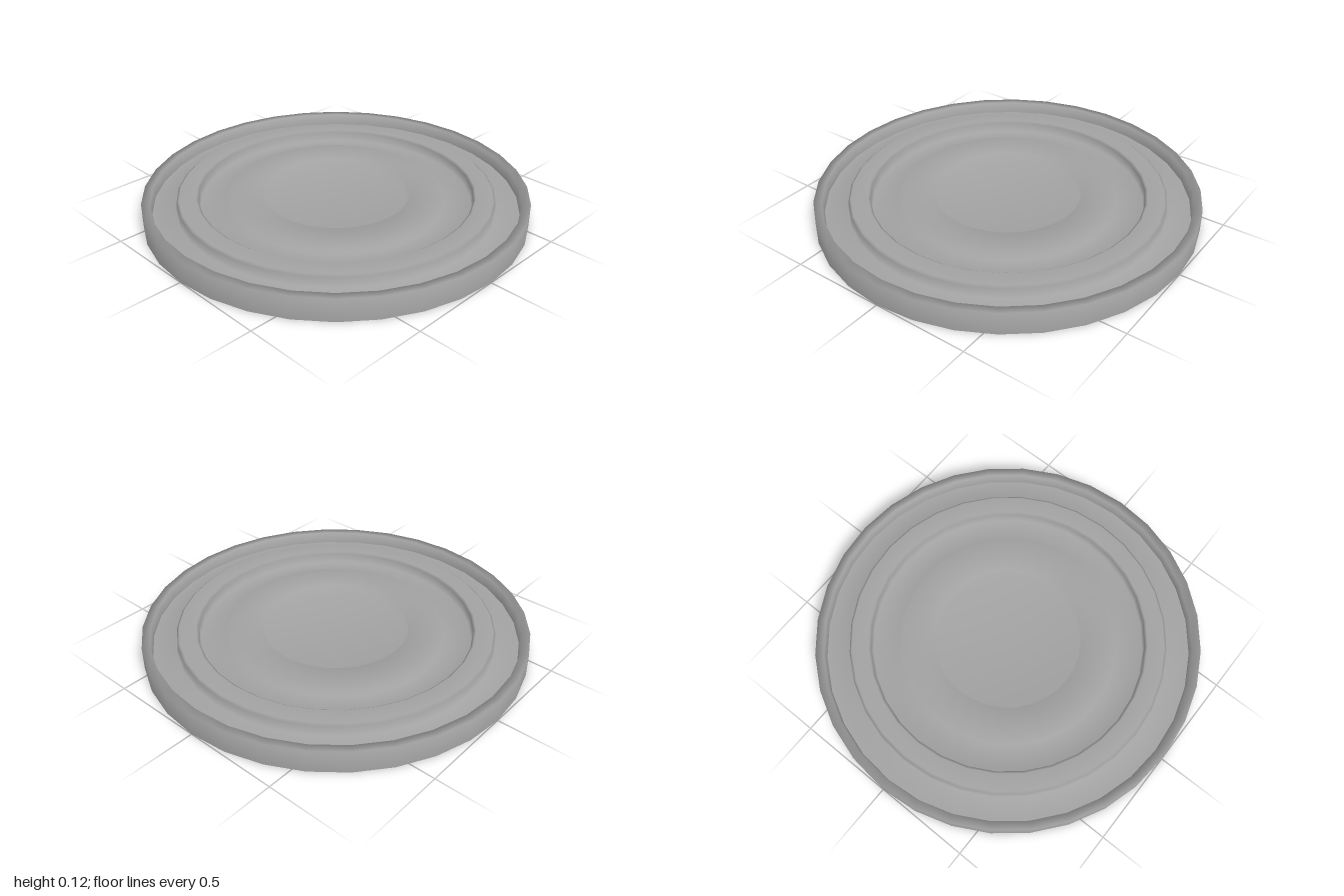
import * as THREE from 'three';

const SIDES = 32;
const material = new THREE.MeshStandardMaterial({ color: 0xa2a2a2, side: THREE.DoubleSide });

// Thin turned sheet; profile runs from the outside in as [radius, height]
function turned(name, profile) {
  const points = profile.map(([r, y]) => new THREE.Vector2(r, y));
  const mesh = new THREE.Mesh(new THREE.LatheGeometry(points, SIDES), material);
  mesh.name = name;
  return mesh;
}

export function createModel() {
  const lid = new THREE.Group();
  lid.name = 'lid';

  // Skirt, open underneath, with the raised rim folding down into the groove
  lid.add(turned('rimAndSkirt', [
    [1, 0], [1, 0.12], [0.957, 0.12], [0.95, 0.058],
  ]));

  // Pressed panel: groove, ridge with rounded shoulders, channel, raised ring, sunken centre
  lid.add(turned('pressedPanel', [
    [0.95, 0.058], [0.83, 0.055],
    [0.825, 0.108], [0.812, 0.118], [0.726, 0.118], [0.713, 0.108],
    [0.708, 0.055], [0.567, 0.06],
    [0.564, 0.094], [0.383, 0.094],
    [0.38, 0.032], [0, 0.032],
  ]));

  return lid;
}
